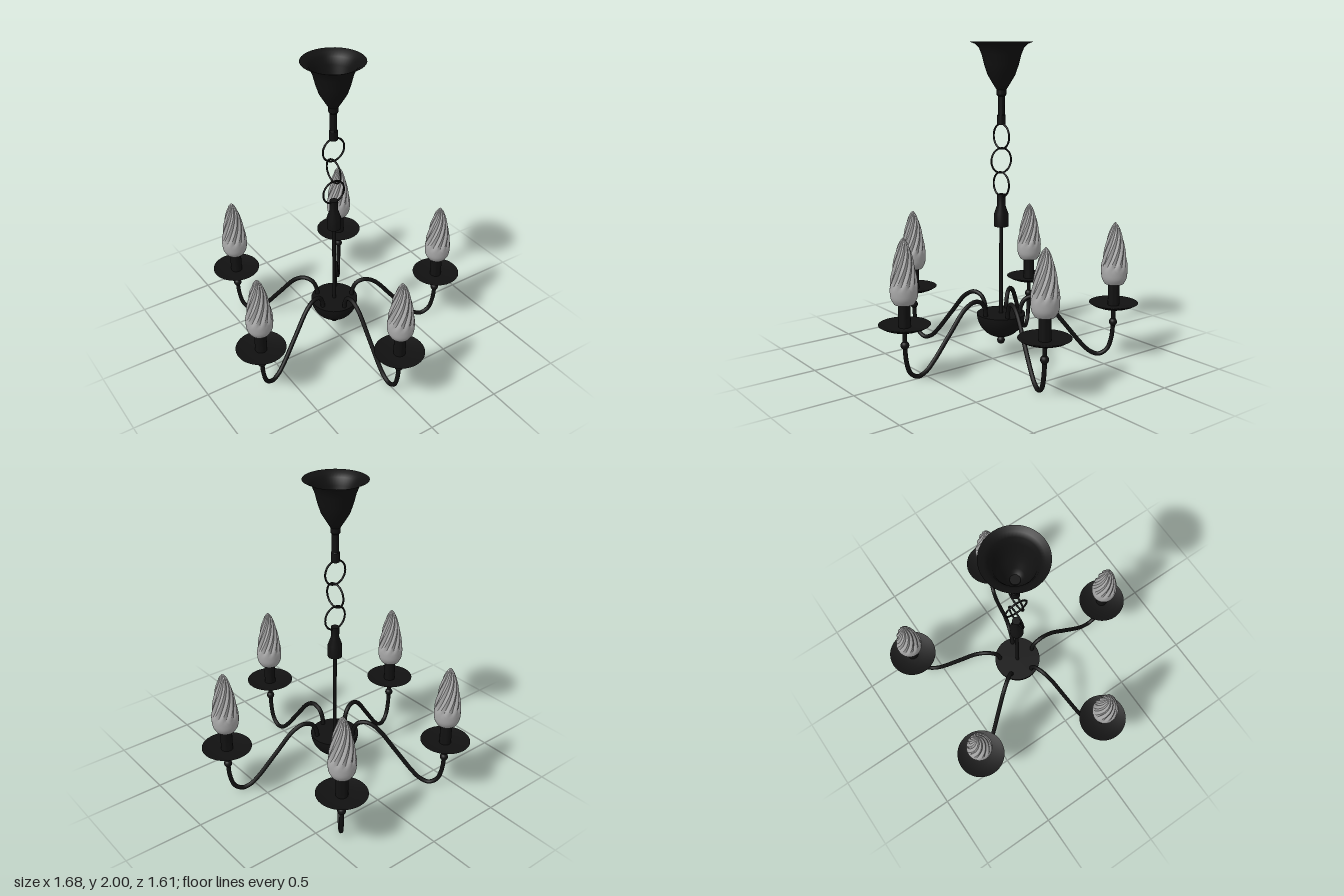
import * as THREE from 'three';
import { toCreasedNormals } from 'three/addons/utils/BufferGeometryUtils.js';

const black = new THREE.MeshStandardMaterial({ color: 0x111111 });
const blackOpen = new THREE.MeshStandardMaterial({ color: 0x111111, side: THREE.DoubleSide });
const glass = new THREE.MeshStandardMaterial({ color: 0xaaaaaa });

function part(parent, name, geometry, material = black) {
  const mesh = new THREE.Mesh(geometry, material);
  mesh.name = name;
  parent.add(mesh);
  return mesh;
}

// Turned part from [radius, y] pairs, listed bottom to top
function turned(points, sides = 32) {
  const lathe = new THREE.LatheGeometry(points.map(([r, y]) => new THREE.Vector2(r, y)), sides);
  return toCreasedNormals(lathe, 0.6);
}

// Candle bulb: plain faceted foot, twisted flutes above it
function bulbGeometry() {
  const flutes = 10, sides = flutes * 4, rows = 28;
  const outline = new THREE.SplineCurve([
    [0.058, 0.485], [0.076, 0.52], [0.081, 0.57], [0.08, 0.61], [0.071, 0.67],
    [0.058, 0.74], [0.043, 0.80], [0.022, 0.855], [0.001, 0.882],
  ].map(([r, y]) => new THREE.Vector2(r, y)));
  const points = [new THREE.Vector2(0, 0.485), ...outline.getPoints(rows)];
  const geometry = new THREE.LatheGeometry(points, sides);
  const pos = geometry.attributes.position;
  for (let i = 0; i < pos.count; i++) {
    const x = pos.getX(i), y = pos.getY(i), z = pos.getZ(i);
    const t = Math.max(0, (y - 0.57) / 0.31);
    const angle = Math.atan2(x, z);
    const depth = 0.16 * Math.min(1, t * 5);
    const r = Math.hypot(x, z) * (1.03 - depth * (1 - Math.abs(Math.sin(angle * flutes / 2))));
    const turn = angle + t * 1.7;
    pos.setXYZ(i, Math.sin(turn) * r, y, Math.cos(turn) * r);
  }
  return toCreasedNormals(geometry, 0.5);
}

export function createModel() {
  const model = new THREE.Group();
  model.name = 'chandelier';
  model.position.z = -0.067;

  // Ceiling canopy, a bell open at the top
  part(model, 'canopy', new THREE.LatheGeometry([
    [0.001, 1.705], [0.03, 1.71], [0.055, 1.75], [0.085, 1.80], [0.105, 1.86],
    [0.12, 1.92], [0.138, 1.965], [0.16, 1.985], [0.192, 1.998],
  ].map(([r, y]) => new THREE.Vector2(r, y)), 48), blackOpen);
  part(model, 'canopyStem', turned([
    [0, 1.495], [0.026, 1.495], [0.026, 1.555], [0.022, 1.56], [0.022, 1.67],
    [0.03, 1.68], [0.03, 1.72], [0, 1.72],
  ]));

  // Chain of three round links, alternately turned
  for (let i = 0; i < 3; i++) {
    const link = part(model, 'chainLink', new THREE.TorusGeometry(0.077, 0.006, 8, 40));
    link.position.y = 1.425 - i * 0.15;
    link.rotation.y = i % 2 ? Math.PI / 2 : 0;
  }

  // Central column
  part(model, 'rodSocket', turned([
    [0, 0.86], [0.045, 0.86], [0.045, 0.94], [0.026, 0.995], [0.026, 1.065], [0, 1.065],
  ]));
  const rod = part(model, 'centralRod', new THREE.CylinderGeometry(0.012, 0.012, 0.66, 16));
  rod.position.y = 0.57;
  const bowl = [];
  for (let i = 0; i <= 14; i++) {
    const a = (i / 14) * Math.PI / 2;
    bowl.push([Math.sin(a) * 0.154, 0.295 - Math.cos(a) * 0.155]);
  }
  part(model, 'bowl', turned([...bowl, [0, 0.295]], 40));
  const finial = part(model, 'finial', new THREE.SphereGeometry(0.025, 20, 14));
  finial.position.y = 0.115;

  // Arm geometry, swept outwards along +z
  const armPath = new THREE.CatmullRomCurve3([
    [0.122, 0.25], [0.125, 0.33], [0.155, 0.386], [0.21, 0.402], [0.28, 0.37],
    [0.40, 0.23], [0.52, 0.084], [0.575, 0.034], [0.632, 0.016], [0.685, 0.05],
    [0.712, 0.13], [0.72, 0.23], [0.72, 0.33],
  ].map(([r, y]) => new THREE.Vector3(0, y, r)));
  const armGeometry = new THREE.TubeGeometry(armPath, 90, 0.014, 10);
  const knobGeometry = new THREE.SphereGeometry(0.026, 18, 12);
  const dishGeometry = turned([
    [0, 0.318], [0.05, 0.321], [0.10, 0.333], [0.135, 0.347], [0.156, 0.36],
    [0.13, 0.354], [0.08, 0.346], [0, 0.343],
  ], 40);
  const candleGeometry = turned([[0, 0.335], [0.037, 0.335], [0.037, 0.487], [0, 0.487]], 24);
  const bulb = bulbGeometry();

  // Five arms, each with knob, drip dish, candle sleeve and bulb
  for (let i = 0; i < 5; i++) {
    const arm = new THREE.Group();
    arm.name = 'lightArm';
    arm.rotation.y = i * Math.PI * 2 / 5;
    model.add(arm);
    part(arm, 'curvedArm', armGeometry);
    part(arm, 'knob', knobGeometry).position.set(0, 0.23, 0.72);
    part(arm, 'dripDish', dishGeometry).position.z = 0.72;
    part(arm, 'candleSleeve', candleGeometry).position.z = 0.72;
    part(arm, 'bulb', bulb, glass).position.z = 0.72;
  }

  const root = new THREE.Group();
  root.add(model);
  return root;
}
